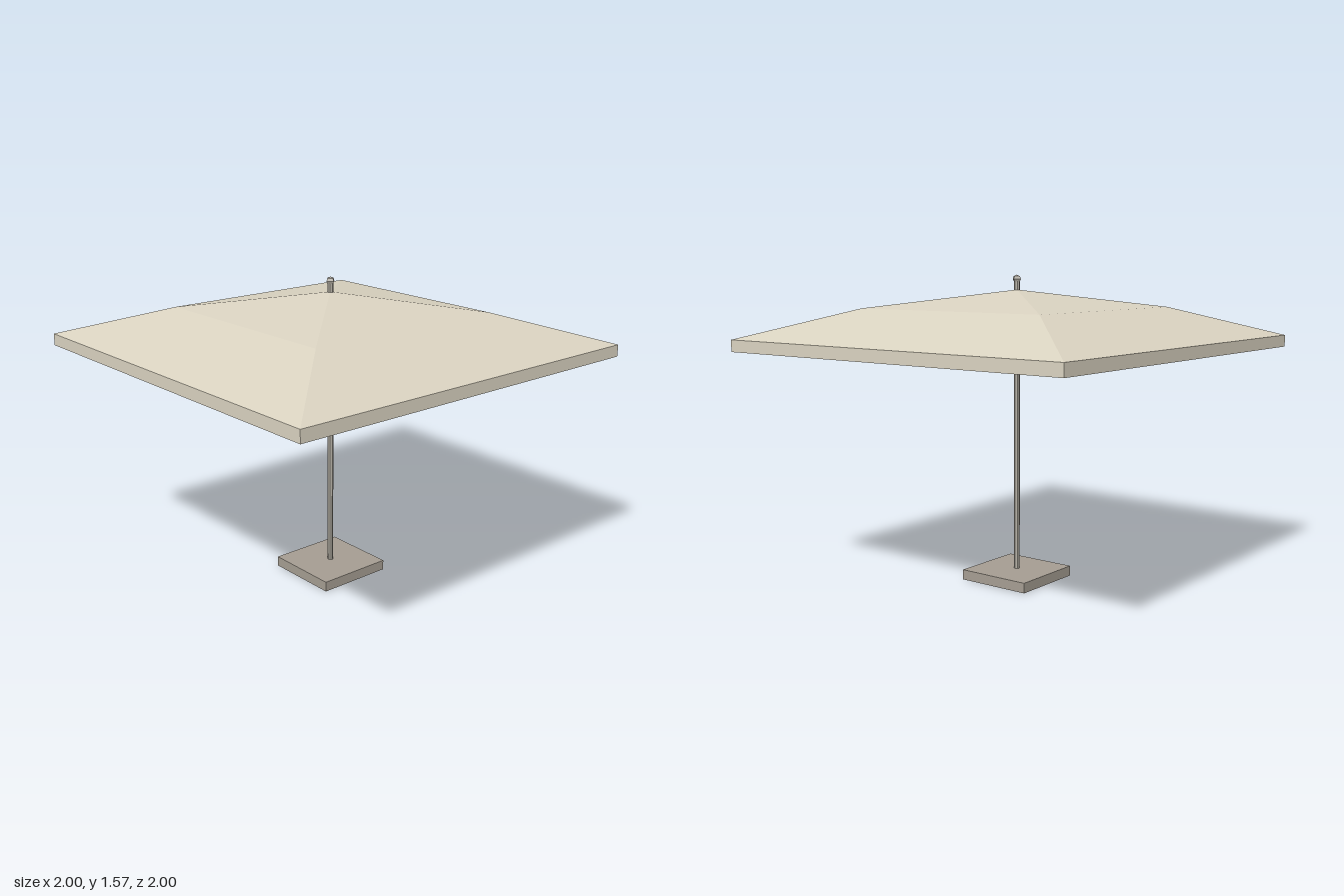
import * as THREE from 'three';

const mat = (name, color, extra = {}) => {
  const m = new THREE.MeshStandardMaterial({ color, flatShading: true, ...extra });
  m.name = name;
  return m;
};

// Faceted surface of revolution; four sides turned 45 degrees give a square plan
function faceted(points, sides, start = 0) {
  const pts = points.map(([r, y]) => new THREE.Vector2(r, y));
  const g = new THREE.LatheGeometry(pts, sides, start).toNonIndexed();
  g.computeVertexNormals();
  return g;
}
const square = (points) =>
  faceted(points.map(([half, y]) => [half * Math.SQRT2, y]), 4, Math.PI / 4);

export function createModel() {
  const group = new THREE.Group();
  const fabric = mat('cream fabric', 0xd9d2c0, { side: THREE.DoubleSide });
  const stone = mat('grey stone', 0xa59d92, { side: THREE.DoubleSide });
  const metal = mat('pale metal', 0xb4afa4);

  const add = (name, geometry, material, parent = group) => {
    const mesh = new THREE.Mesh(geometry, material);
    mesh.name = name;
    parent.add(mesh);
    return mesh;
  };

  // Canopy: two slopes, then a hanging border
  add('canopy', square([[1, 1.26], [0.55, 1.41], [0, 1.5]]), fabric);
  add('valance', square([[1, 1.2], [1, 1.26]]), fabric);

  // Base: shallow box, open underneath
  add('base', square([[0.2, 0.003], [0.2, 0.055], [0, 0.055]]), stone);

  // Pole and finial
  add('pole', faceted([[0, 0.045], [0.015, 0.045], [0.015, 1.545], [0, 1.545]], 8), metal);
  add('finial', faceted([[0, 1.537], [0.018, 1.54], [0.026, 1.553], [0.02, 1.567], [0, 1.575]], 4), metal);

  // Ribs follow the four hips just below the fabric
  const ribPath = [[0.01, 1.488], [0.55, 1.4], [0.98, 1.256]];
  for (let i = 0; i < 4; i++) {
    const rib = new THREE.Group();
    rib.name = 'rib' + (i + 1);
    rib.rotation.y = Math.PI / 4 + (i * Math.PI) / 2;
    for (let k = 0; k < 2; k++) {
      const [a, b] = [ribPath[k], ribPath[k + 1]].map(
        ([r, y]) => new THREE.Vector2(r * Math.SQRT2, y));
      const d = b.clone().sub(a);
      const bar = add('ribBar', new THREE.BoxGeometry(d.length(), 0.012, 0.012), metal, rib);
      bar.position.set((a.x + b.x) / 2, (a.y + b.y) / 2, 0);
      bar.rotation.z = Math.atan2(d.y, d.x);
    }
    group.add(rib);
  }
  return group;
}
